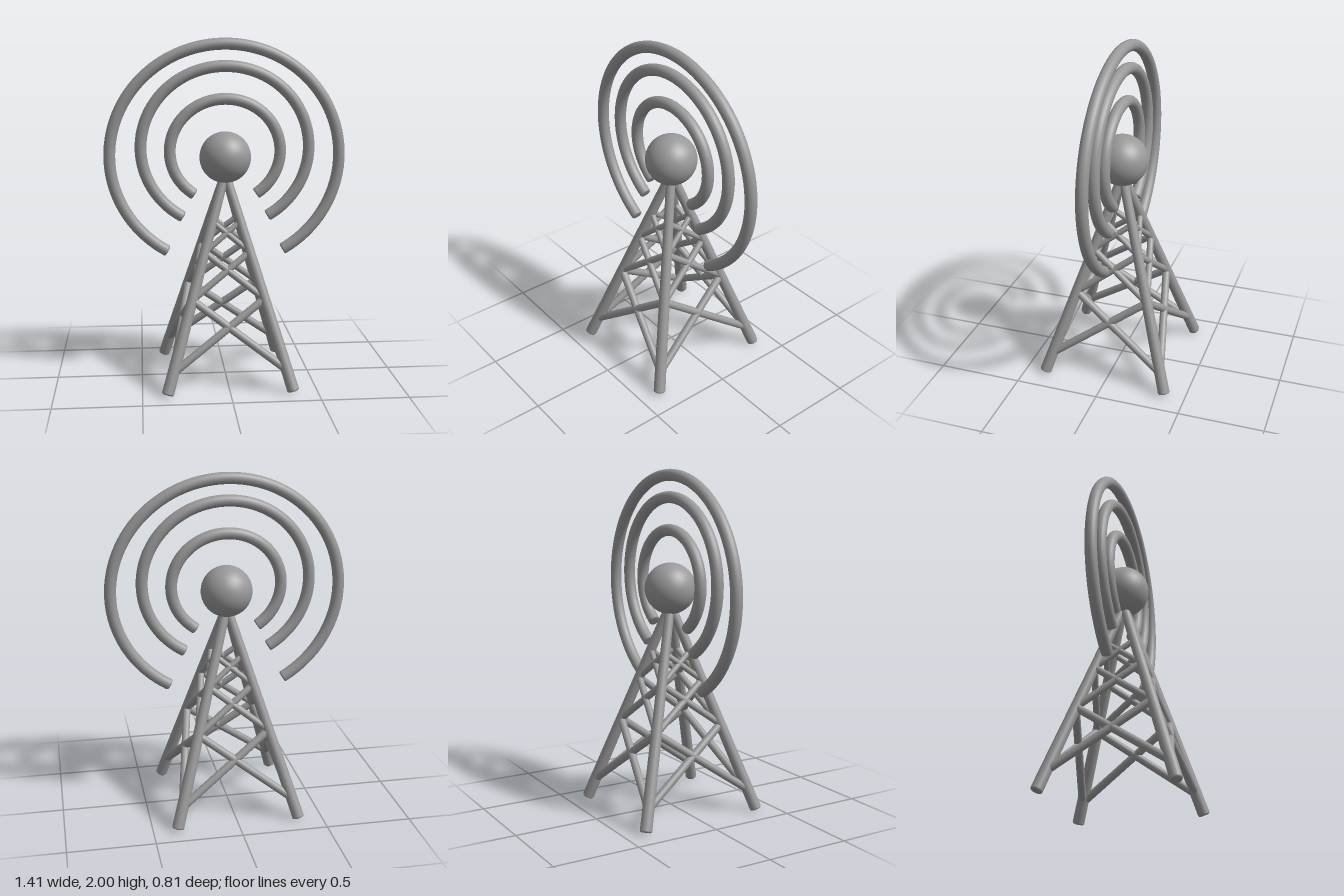
import * as THREE from 'three';

const steel = new THREE.MeshStandardMaterial({ color: 0x999999 });
steel.name = 'steel grey';

const V = (x, y, z) => new THREE.Vector3(x, y, z);

// Round bar between two points, with softly bevelled ends
function rod(name, a, b, ra, rb, bevel = 0.008) {
  const len = a.distanceTo(b);
  const profile = [
    [0, 0], [ra - bevel, 0], [ra - bevel * 0.3, bevel * 0.3], [ra, bevel],
    [rb, len - bevel], [rb - bevel * 0.3, len - bevel * 0.3], [rb - bevel, len], [0, len],
  ].map(([x, y]) => new THREE.Vector2(x, y));
  const mesh = new THREE.Mesh(new THREE.LatheGeometry(profile, 20), steel);
  mesh.name = name;
  mesh.position.copy(a);
  mesh.quaternion.setFromUnitVectors(V(0, 1, 0), b.clone().sub(a).normalize());
  return mesh;
}

// Point on the centre line of a leg at height y
const APEX = 1.22;
function legPoint(sx, sz, y) {
  const k = 1 - y / APEX;
  return V(sx * 0.363 * k, y, sz * 0.38 * k);
}

// Signal arc: an ellipse that is open at the bottom
class SignalCurve extends THREE.Curve {
  constructor(cy, rx, ry, drop) {
    super();
    Object.assign(this, { cy, rx, ry, drop });
  }
  getPoint(t, target = new THREE.Vector3()) {
    const a = -this.drop + t * (Math.PI + 2 * this.drop);
    return target.set(this.rx * Math.cos(a), this.cy + this.ry * Math.sin(a), 0);
  }
}

export function createModel() {
  const model = new THREE.Group();
  model.name = 'radioTower';

  // Four legs meeting inside the ball
  const corners = [[1, 1], [1, -1], [-1, -1], [-1, 1]];
  const legs = new THREE.Group();
  legs.name = 'legs';
  for (const [sx, sz] of corners) {
    legs.add(rod('leg', legPoint(sx, sz, 0.013), legPoint(sx, sz, APEX), 0.035, 0.027, 0.01));
  }
  model.add(legs);

  // Crossed braces on every face, three tiers high
  const braces = new THREE.Group();
  braces.name = 'crossBraces';
  const tiers = [[0.13, 0.52, 0.023], [0.52, 0.78, 0.02], [0.78, 0.95, 0.017]];
  corners.forEach((c, i) => {
    const d = corners[(i + 1) % 4];
    for (const [y0, y1, r] of tiers) {
      braces.add(rod('brace', legPoint(...c, y0), legPoint(...d, y1), r, r));
      braces.add(rod('brace', legPoint(...d, y0), legPoint(...c, y1), r, r));
    }
  });
  model.add(braces);

  // Transmitter ball
  const ball = new THREE.Mesh(new THREE.SphereGeometry(0.15, 48, 32), steel);
  ball.name = 'transmitterBall';
  ball.position.y = 1.315;
  model.add(ball);

  // Three signal arcs with capped ends
  const R = 0.034;
  const arcs = [
    [1.35, 0.322, 0.303, 0.945],
    [1.371, 0.49, 0.469, 1.02],
    [1.32, 0.67, 0.646, 1.025],
  ];
  for (const [cy, rx, ry, drop] of arcs) {
    const arc = new THREE.Group();
    arc.name = 'signalArc';
    const curve = new SignalCurve(cy, rx, ry, drop);
    const tube = new THREE.Mesh(new THREE.TubeGeometry(curve, 96, R, 20), steel);
    tube.name = 'arcTube';
    arc.add(tube);
    for (const [t, s] of [[0, -1], [1, 1]]) {
      const p = curve.getPoint(t);
      const dir = curve.getTangent(t).multiplyScalar(s);
      arc.add(rod('arcEnd', p.clone().addScaledVector(dir, -0.012), p.clone().addScaledVector(dir, 0.01), R, R));
    }
    model.add(arc);
  }

  return model;
}
